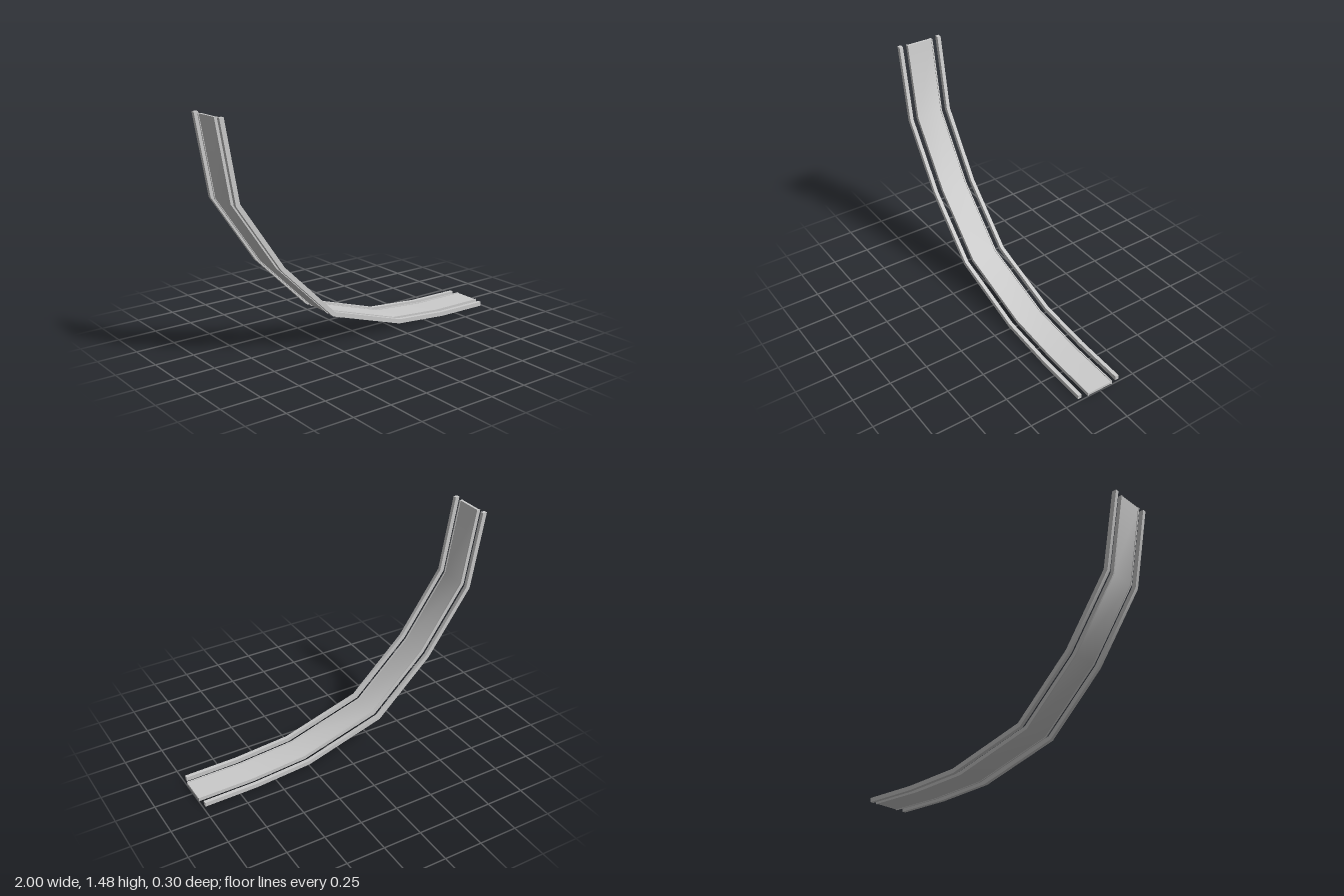
import * as THREE from 'three';
import { toCreasedNormals } from 'three/addons/utils/BufferGeometryUtils.js';

const material = new THREE.MeshStandardMaterial({ color: 0xcccccc, side: THREE.DoubleSide });

// Joints of the curved track's centre line, from the steep top to the level end
const joints = [
  [-0.987, 1.48], [-0.9, 0.985], [-0.613, 0.565], [-0.251, 0.211],
  [0.265, 0.05], [0.634, 0.02], [0.985, 0.016],
].map(([x, y]) => new THREE.Vector2(x, y));

// Mitred band around the centre line; the top is cut level and the low end upright
function bandShape(path, thickness) {
  const dirs = path.slice(1).map((p, i) => p.clone().sub(path[i]).normalize());
  const last = path.length - 1;
  const offsets = path.map((p, i) => {
    const a = dirs[Math.max(i - 1, 0)], b = dirs[Math.min(i, last - 1)];
    const normal = new THREE.Vector2(-b.y, b.x);
    let miter = new THREE.Vector2(-a.y - b.y, a.x + b.x).normalize();
    if (i === 0) miter = new THREE.Vector2(1, 0);
    if (i === last) miter = new THREE.Vector2(0, 1);
    return miter.multiplyScalar(thickness / 2 / miter.dot(normal));
  });
  const inner = path.map((p, i) => p.clone().add(offsets[i]));
  const outer = path.map((p, i) => p.clone().sub(offsets[i]));
  return new THREE.Shape([...outer, ...inner.reverse()]);
}

function addBand(group, name, path, thickness, width, z) {
  const geometry = new THREE.ExtrudeGeometry(bandShape(path, thickness), { depth: width, bevelEnabled: false });
  geometry.translate(0, 0, z - width / 2);
  const mesh = new THREE.Mesh(toCreasedNormals(geometry, 0.7), material);
  mesh.name = name;
  group.add(mesh);
}

export function createModel() {
  const group = new THREE.Group();
  group.name = 'curvedTrack';

  // The bed runs slightly past the rails at the low end
  const bedPath = joints.map((p) => p.clone());
  bedPath[0].set(-0.986, 1.475);
  bedPath[bedPath.length - 1].set(1, 0.018);

  addBand(group, 'bed', bedPath, 0.016, 0.168, 0);
  for (const [side, s] of [['front', 1], ['back', -1]]) {
    addBand(group, side + 'BedLip', bedPath, 0.024, 0.008, s * 0.087);
    addBand(group, side + 'Rail', joints, 0.028, 0.024, s * 0.14);
  }
  return group;
}
